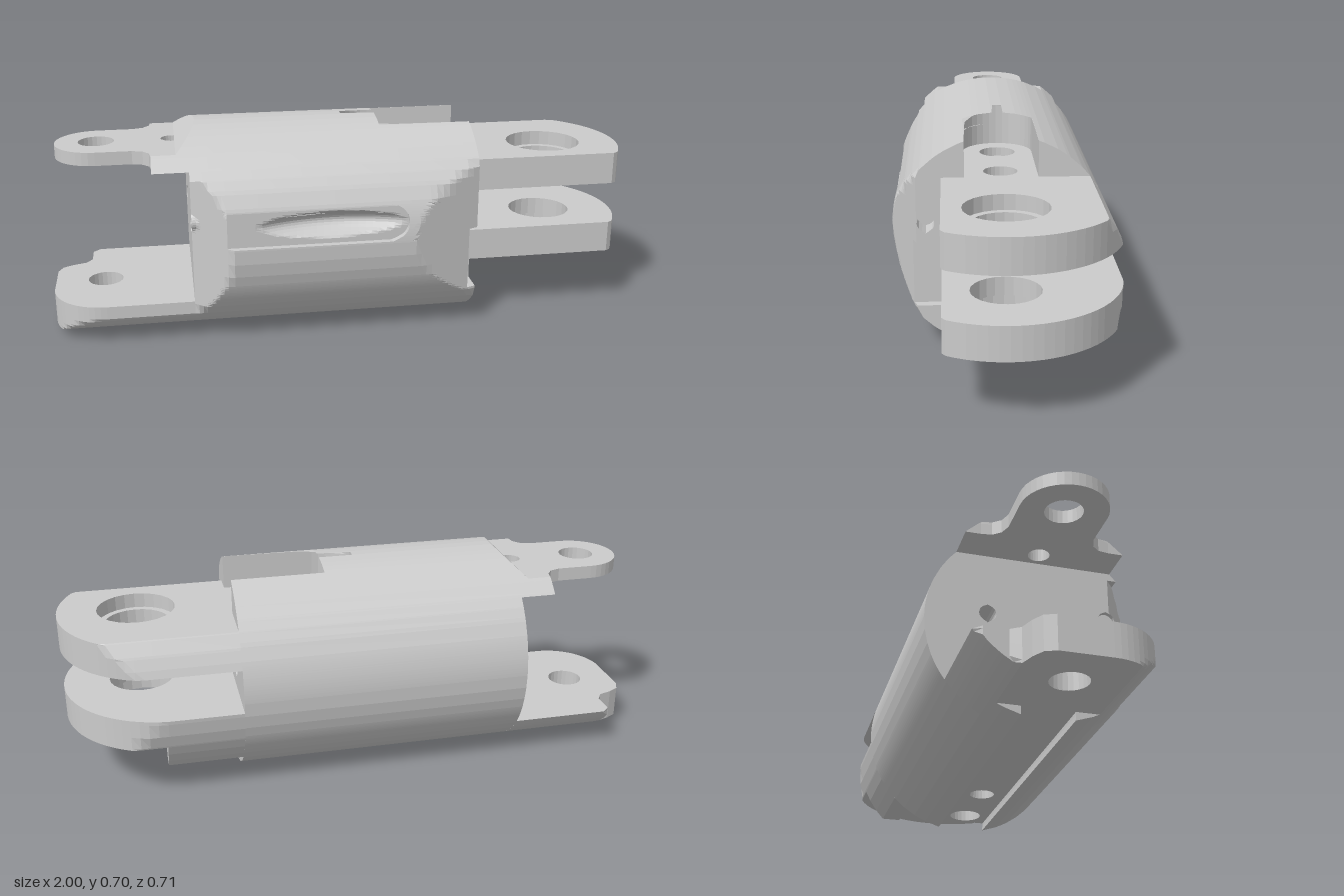
import * as THREE from 'three';

const CY = 0.349, R = 0.357;                       // axis height and radius of the round body
const width = y => Math.sqrt(Math.max(0, R * R - (y - CY) ** 2));
const clamp = (v, a, b) => Math.min(b, Math.max(a, v));
const line = (a, b, n) => Array.from({ length: n + 1 }, (_, i) => a + (b - a) * i / n);
const arc = (cx, cz, r, a0, a1, n) => line(a0, a1, n).map(d => {
  const t = d * Math.PI / 180;
  return [cx + r * Math.cos(t), cz + r * Math.sin(t)];
});
const hole = (x, z, r) => arc(x, z, r, 0, 345, 23);
const material = new THREE.MeshStandardMaterial({ color: 0xcccccc, flatShading: true });

// Heights where the round body's facets meet, within y0..y1, plus n even steps
function heights(y0, y1, n) {
  const ys = line(y0, y1, n);
  for (let i = 0; i <= 24; i++) {
    const y = CY - R * Math.cos(i * Math.PI / 24);
    if (ys.every(v => Math.abs(v - y) > 0.003) && y > y0 && y < y1) ys.push(y);
  }
  return ys.sort((a, b) => a - b);
}

// Stack a plan outline (x, z) from y0 to y1, trimmed to the round body and to lo..hi
function slab(name, y0, y1, plan, holes = [], lo = () => -9, hi = () => 9, n = 1) {
  const ys = heights(y0, y1, n);
  const planAt = typeof plan === 'function' ? plan : () => plan;
  const vec = p => new THREE.Vector2(p[0], p[1]);
  const flip = THREE.ShapeUtils.area(planAt((y0 + y1) / 2).map(vec)) < 0;
  const loopsAt = y => {
    const outer = planAt(y).slice();
    return [flip ? outer.reverse() : outer, ...holes.map(h => h.slice().reverse())];
  };
  const loops = loopsAt((y0 + y1) / 2);
  const count = loops.flat().length;
  const pos = [], idx = [];
  for (const y of ys) {
    const w = width(y);
    for (const [x, z] of loopsAt(y).flat()) {
      pos.push(x, y, clamp(clamp(z, lo(y), hi(y)), -w, w));
    }
  }
  const top = (ys.length - 1) * count;
  for (const [a, b, c] of THREE.ShapeUtils.triangulateShape(loops[0].map(vec), loops.slice(1).map(l => l.map(vec)))) {
    idx.push(a, b, c, top + c, top + b, top + a);
  }
  for (let k = 0; k < ys.length - 1; k++) {
    let start = k * count;
    for (const loop of loops) {
      for (let i = 0; i < loop.length; i++) {
        const a = start + i, b = start + (i + 1) % loop.length;
        idx.push(a, a + count, b + count, a, b + count, b);
      }
      start += loop.length;
    }
  }
  const g = new THREE.BufferGeometry();
  g.setAttribute('position', new THREE.Float32BufferAttribute(pos, 3));
  g.setIndex(idx);
  const flat = g.toNonIndexed();
  flat.computeVertexNormals();
  const mesh = new THREE.Mesh(flat, material);
  mesh.name = name;
  return mesh;
}

// Slab with lengthwise drilled bores [y, z, r]: strips between neighbouring bores
function drilledSlab(name, y0, y1, plan, holes, bores) {
  const half = (b, y) => Math.sqrt(Math.max(0, b[2] ** 2 - (y - b[0]) ** 2));
  const sorted = bores.slice().sort((a, b) => a[1] - b[1]);
  return line(0, sorted.length, sorted.length).map(i => {
    const a = sorted[i - 1], b = sorted[i];
    const middle = (!a || a[1] < 0) && (!b || b[1] > 0);
    return slab(name, y0, y1, plan, middle ? holes : [],
      a ? y => a[1] + half(a, y) : undefined, b ? y => b[1] - half(b, y) : undefined, 12);
  });
}

// Body outline: chamfered front corners, optional side slot with a hollow in it
function bodyPlan({ left = -0.53, slot = false, recess = false } = {}) {
  const right = recess ? 0.4 : 0.43;
  const front = x => Math.min(0.36, Math.max(0.25, 0.25 + (x + 0.53) * 0.82), 0.27 + (0.43 - x) * 0.378);
  return y => {
    const end = 0.12 + Math.sqrt(Math.max(0, 0.0575 ** 2 - (y - 0.4175) ** 2));
    const inSlot = x => {
      const d = 1 - ((x + 0.075) / 0.24) ** 2 - ((y - 0.42) / 0.044) ** 2;
      return Math.min(front(x), 0.335) - 0.05 * Math.max(0, d);
    };
    return [
      [left, -0.36],
      ...line(left, -0.42, 8).map(x => [x, front(x)]),
      ...line(-0.42, end, 26).map(x => [x, slot ? inSlot(x) : front(x)]),
      ...line(end, right, 14).map(x => [x, front(x)]),
      [right, 0.19], [0.43, 0.189], [0.43, -0.36],
    ];
  };
}

export function createModel() {
  const model = new THREE.Group();
  const body = new THREE.Group();
  body.name = 'body';
  model.add(body);

  // Underside with the lengthwise groove
  const under = bodyPlan({ left: -0.64 });
  body.add(slab('undersideFront', 0.002, 0.03, under, [], () => 0.085));
  body.add(slab('undersideBack', 0.002, 0.03, under, [], undefined, () => -0.085));

  // Main barrel, in layers
  const pins = [hole(0.12, 0, 0.043), hole(0.36, 0, 0.055)];
  const recessed = bodyPlan({ recess: true }), slotted = bodyPlan({ slot: true });
  body.add(slab('barrelBase', 0.03, 0.14, bodyPlan(), pins));
  body.add(...drilledSlab('barrelLower', 0.14, 0.22, recessed, pins, [[0.18, -0.155, 0.028]]));
  body.add(slab('barrelMiddle', 0.22, 0.355, recessed, pins));
  body.add(...drilledSlab('barrelBored', 0.355, 0.45, slotted, pins,
    [[0.388, 0.155, 0.028], [0.388, -0.155, 0.028], [0.42, 0.24, 0.028]]));
  body.add(slab('barrelSlotTop', 0.45, 0.475, slotted, pins, undefined, undefined, 6));
  body.add(slab('barrelUpper', 0.475, 0.54, bodyPlan(), pins));
  body.add(slab('barrelShoulder', 0.54, 0.57, bodyPlan(), [hole(0.12, 0, 0.06), pins[1]]));

  // Plugs that make two of the bores blind
  for (const [y, z, x0] of [[0.18, -0.155, -0.53], [0.42, 0.24, -0.515]]) {
    const plug = new THREE.Mesh(new THREE.CylinderGeometry(0.0285, 0.0285, 0.36 - x0, 12), material);
    plug.name = 'borePlug';
    plug.rotation.z = Math.PI / 2;
    plug.position.set((0.36 + x0) / 2, y, z);
    body.add(plug);
  }

  // Crown with the round-ended pocket and the ramp down to the upper lug
  const pocket = arc(0.117, 0, 0.117, 270, 90, 16);
  const crown = left => y => [
    [left(y), -0.36], [0.43, -0.36], [0.43, -0.117], ...pocket,
    [0.43, 0.117], ...line(0.43, left(y), 24).map(x => [x, Math.min(0.36, 0.27 + (0.43 - x) * 0.378)]),
  ];
  const ramp = y => -0.57 + (y - 0.64) * 1.06;
  body.add(slab('crownBase', 0.57, 0.595, crown(() => -0.53)));
  body.add(slab('crownRoof', 0.595, 0.64, crown(() => -0.65), [hole(-0.58, 0, 0.035)]));
  body.add(slab('crownRamp', 0.64, 0.686, crown(ramp)));
  body.add(slab('crownTop', 0.686, CY + R - 0.0005, y => [
    [ramp(y), -0.36], [0.117, -0.36], ...pocket, [0.117, 0.36], [ramp(y), 0.36],
  ], [], undefined, undefined, 4));

  // Upper lug
  model.add(slab('upperLug', 0.595, 0.64, [
    ...arc(-0.83, 0, 0.138, 90, 270, 20),
    [-0.71, -0.138], [-0.675, -0.15], [-0.655, -0.175], [-0.65, -0.21],
    [-0.65, 0.21], [-0.655, 0.175], [-0.675, 0.15], [-0.71, 0.138],
  ], [hole(-0.83, 0, 0.06)]));

  // Lower lug
  model.add(slab('lowerLug', 0.03, 0.14, [
    [-0.53, 0.25], [-0.65, 0.25], ...arc(-0.82, 0.07, 0.18, 90, 180, 14),
    ...line(0.06, -0.09, 5).map(z => [-1, z]),
    [-0.985, -0.125], [-0.95, -0.145], [-0.905, -0.16], [-0.885, -0.19],
    [-0.885, -0.265], [-0.86, -0.29], [-0.53, -0.29],
  ], [hole(-0.83, 0, 0.06)], undefined, undefined, 4));

  // Two clevis plates, each with a stepped bearing hole
  const plate = [
    [0.43, -0.36], ...arc(0.643, 0, 0.357, -90, 30, 24), [0.935, 0.19], [0.43, 0.19],
  ];
  for (const [name, y0, y1, r] of [
    ['lowerClevis', 0.207, 0.255, 0.13], ['lowerClevis', 0.255, 0.315, 0.108],
    ['upperClevis', 0.46, 0.52, 0.108], ['upperClevis', 0.52, 0.57, 0.13],
  ]) model.add(slab(name, y0, y1, plate, [hole(0.74, 0, r)]));

  // Stop block under the lower clevis
  model.add(slab('stopBlock', 0.1, 0.207, [
    [0.43, -0.36], [0.68, -0.36], [0.68, -0.19], [0.47, -0.19], [0.43, -0.155],
  ]));
  return model;
}
